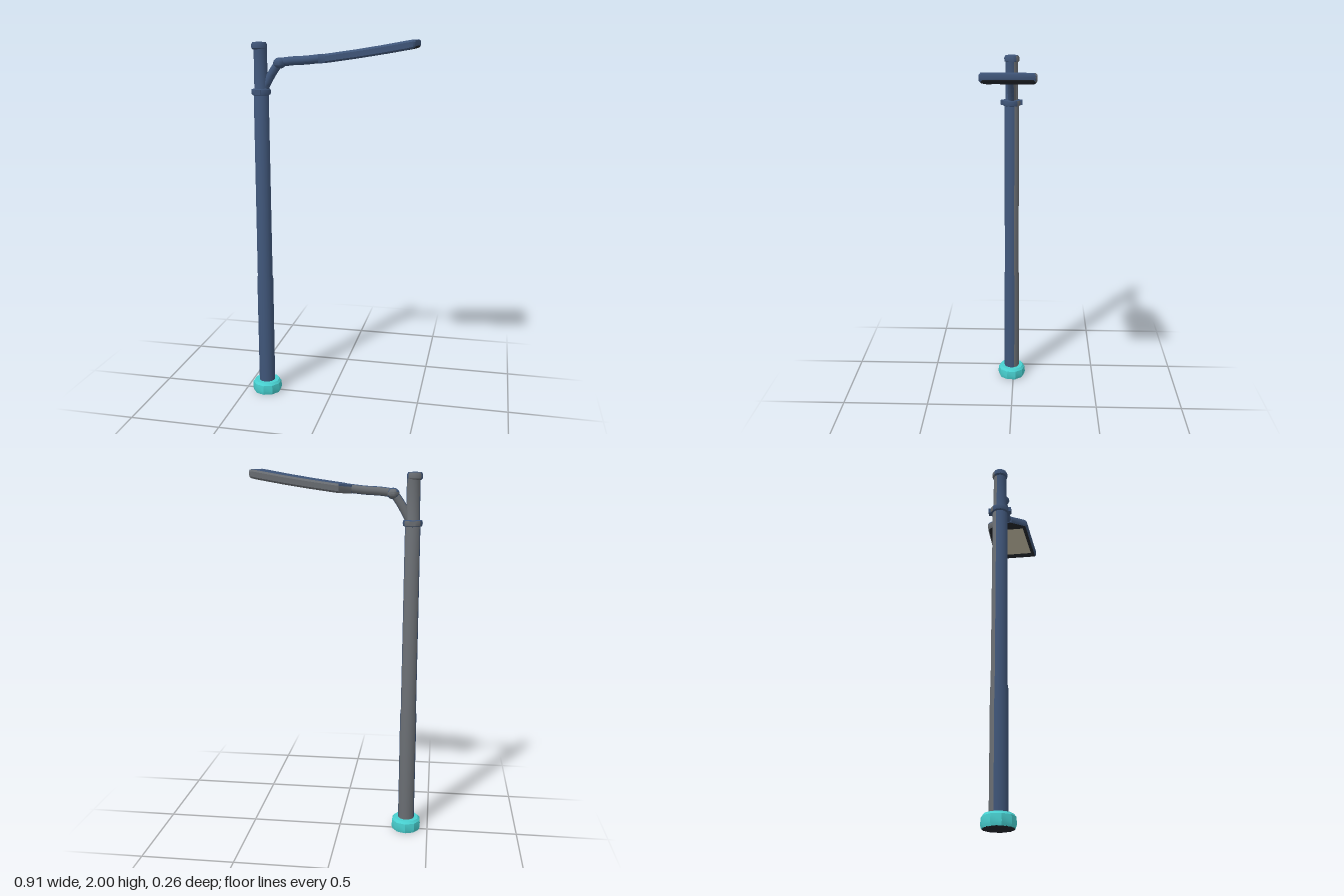
import * as THREE from 'three';
import { toCreasedNormals } from 'three/addons/utils/BufferGeometryUtils.js';

const paint = (name, color) => {
  const m = new THREE.MeshStandardMaterial({ color });
  m.name = name;
  return m;
};

export function createModel() {
  const navy = paint('navy paint', 0x3f5578);
  const grey = paint('worn grey paint', 0x696d72);
  const cyan = paint('cyan base', 0x48d0d0);
  const dark = paint('dark underside', 0x22262c);
  const lens = paint('warm lens', 0xc8c0a8);

  const group = new THREE.Group();
  group.name = 'streetLamp';
  const PX = -0.378, PZ = 0.011;

  // Turns lists of triangle coordinates into one mesh with a material per list
  function meshFromLists(name, lists, materials, crease = 0.7) {
    const geo = new THREE.BufferGeometry();
    let start = 0;
    lists.forEach((list, i) => {
      geo.addGroup(start, list.length / 3, i);
      start += list.length / 3;
    });
    geo.setAttribute('position', new THREE.Float32BufferAttribute(lists.flat(), 3));
    const mesh = new THREE.Mesh(toCreasedNormals(geo, crease), materials);
    mesh.name = name;
    group.add(mesh);
    return mesh;
  }

  // Faces turned to the back carry the worn grey, the rest stays navy
  const tri = new THREE.Triangle(), normal = new THREE.Vector3();
  function addTri(front, back, a, b, c) {
    tri.set(a, b, c).getNormal(normal);
    const list = normal.z < -0.5 ? back : front;
    for (const p of [a, b, c]) list.push(p.x, p.y, p.z);
  }
  function paintedMesh(name, geometry) {
    const pos = geometry.toNonIndexed().attributes.position;
    const front = [], back = [];
    const at = i => new THREE.Vector3().fromBufferAttribute(pos, i);
    for (let i = 0; i < pos.count; i += 3) {
      const a = at(i), b = at(i + 1), c = at(i + 2);
      if (tri.set(a, b, c).getArea() > 1e-9) addTri(front, back, a, b, c);
    }
    return meshFromLists(name, [front, back], [navy, grey]);
  }
  const lathe = (points, sides) =>
    new THREE.LatheGeometry(points.map(p => new THREE.Vector2(...p)), sides);

  // Base block with a dark bottom
  const base = new THREE.Mesh(toCreasedNormals(lathe(
    [[0.078, 0], [0.084, 0.02], [0.081, 0.055], [0.07, 0.068], [0.04, 0.068]], 10).toNonIndexed(), 0.5), cyan);
  base.name = 'base';
  base.position.set(PX, 0, PZ);
  const bottom = new THREE.Mesh(new THREE.CircleGeometry(0.078, 10), dark);
  bottom.name = 'baseBottom';
  bottom.rotation.x = Math.PI / 2;
  bottom.position.set(PX, 0.001, PZ);
  group.add(base, bottom);

  // Pole, collar and cap
  paintedMesh('pole', lathe(
    [[0.045, 0.05], [0.045, 0.68], [0.042, 0.7], [0.04, 1.72], [0.036, 1.73], [0.035, 1.95]], 16))
    .position.set(PX, 0, PZ);
  paintedMesh('collar', lathe(
    [[0.036, 1.705], [0.05, 1.71], [0.053, 1.725], [0.05, 1.738], [0.034, 1.742]], 14))
    .position.set(PX, 0, PZ);
  paintedMesh('cap', lathe(
    [[0.033, 1.943], [0.041, 1.95], [0.042, 1.968], [0.036, 1.98], [0, 1.984]], 14))
    .position.set(PX - 0.006, 0, PZ);
  // Collar lugs on both sides
  for (const s of [-1, 1]) {
    paintedMesh('collarLug', new THREE.BoxGeometry(0.03, 0.026, 0.02))
      .position.set(PX, 1.725, PZ + s * 0.051);
  }

  // Bent arm and its joint
  const path = new THREE.CatmullRomCurve3([
    [-0.368, 1.725], [-0.345, 1.77], [-0.31, 1.83], [-0.275, 1.872], [-0.22, 1.884], [-0.13, 1.89], [-0.04, 1.9],
  ].map(([x, y]) => new THREE.Vector3(x, y, 0.009)));
  paintedMesh('arm', new THREE.TubeGeometry(path, 28, 0.023, 12));
  const joint = new THREE.SphereGeometry(1, 14, 10);
  joint.scale(0.034, 0.029, 0.04);
  paintedMesh('armJoint', joint).position.set(-0.274, 1.874, 0.009);

  // Lamp head: stations of [x, half width, recess depth, thickness]
  const stations = [
    [-0.062, 0.034, 0, 0.044], [-0.006, 0.115, 0, 0.046], [0.02, 0.117, 0, 0.046], [0.03, 0.118, 0.012, 0.046],
    [0.15, 0.122, 0.014, 0.046], [0.28, 0.127, 0.014, 0.046], [0.4, 0.132, 0.012, 0.046],
    [0.41, 0.132, 0, 0.046], [0.437, 0.132, 0, 0.044], [0.447, 0.127, 0, 0.034], [0.45, 0.122, 0, 0.022],
  ];
  const topAt = x => 1.926 + 0.13 * x + 0.07 * x * x;
  const rings = stations.map(([x, w, d, t]) => {
    const y = topAt(x) - (0.046 - t) / 2;
    const half = [
      [w - 0.009, 0], [w, -0.01], [w, -t + 0.009], [w - 0.007, -t], [w - 0.022, -t], [w - 0.03, -t + d],
    ];
    const mirrored = half.map(([z, h]) => [-z, h]).reverse();
    return [...half, ...mirrored].map(([z, h]) => new THREE.Vector3(x, y + h, z + 0.002));
  });
  const front = [], back = [], under = [], glass = [];
  const n = rings[0].length;
  for (let i = 0; i < rings.length - 1; i++) {
    const recessed = stations[i][2] > 0 && stations[i + 1][2] > 0;
    for (let j = 0; j < n; j++) {
      const k = (j + 1) % n, A = rings[i], B = rings[i + 1];
      let f = front, b = back;
      if (j >= 3 && j <= 7) f = b = j === 5 && recessed ? glass : under;
      addTri(f, b, A[j], A[k], B[k]);
      addTri(f, b, A[j], B[k], B[j]);
    }
  }
  // End faces of the head
  for (const [ring, isTip] of [[rings[0], false], [rings.at(-1), true]]) {
    const c = ring.reduce((s, p) => s.add(p), new THREE.Vector3()).divideScalar(n);
    for (let j = 0; j < n; j++) {
      const p = ring[j], q = ring[(j + 1) % n];
      if (isTip) addTri(front, front, c, p, q);
      else addTri(front, front, c, q, p);
    }
  }
  meshFromLists('lampHead', [front, back, under, glass], [navy, grey, dark, lens], 0.6);

  return group;
}
